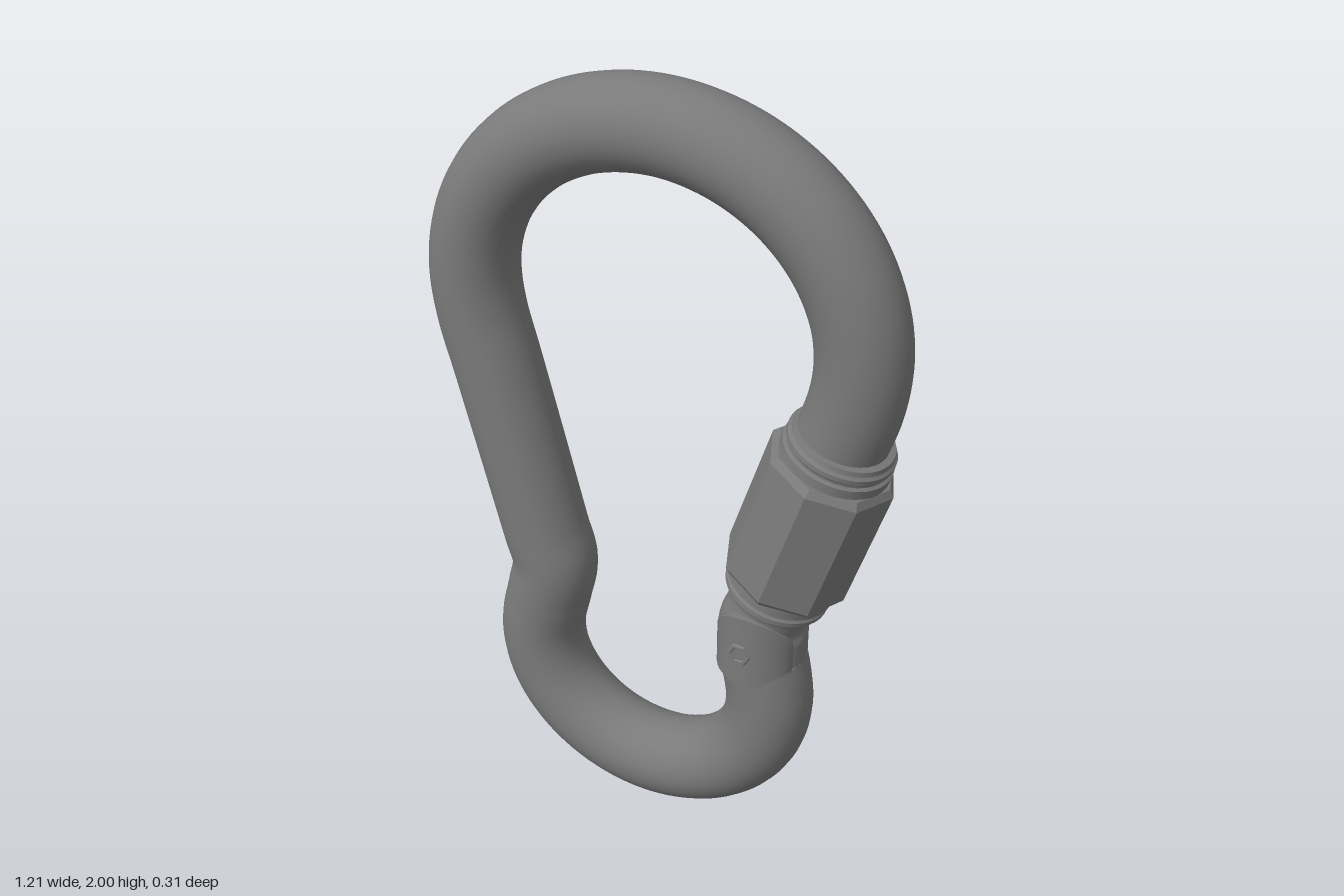
import * as THREE from 'three';
import { toCreasedNormals } from 'three/addons/utils/BufferGeometryUtils.js';

const METAL = 0x7a7a7a;
const smooth = new THREE.MeshStandardMaterial({ color: METAL, side: THREE.DoubleSide });
const faceted = new THREE.MeshStandardMaterial({ color: METAL, side: THREE.DoubleSide, flatShading: true });
const ROD = 0.109;
const TILT = THREE.MathUtils.degToRad(17.5);

function part(parent, name, geometry, material = smooth) {
  const mesh = new THREE.Mesh(geometry, material);
  mesh.name = name;
  parent.add(mesh);
  return mesh;
}

const lathe = (pts, sides) =>
  new THREE.LatheGeometry(pts.map(([r, y]) => new THREE.Vector2(r, y)), sides);

// Points on an elliptical arc, angles in degrees
function arc(cx, cy, rx, ry, from, to, steps) {
  const pts = [];
  for (let i = 0; i <= steps; i++) {
    const a = THREE.MathUtils.degToRad(from + (to - from) * i / steps);
    pts.push([cx + rx * Math.cos(a), cy + ry * Math.sin(a)]);
  }
  return pts;
}

// One hinge cheek: the rod's rounded side, continued up into an arch
function cheekGeometry() {
  const cols = 20, rows = 18, half = 0.1, base = -0.1;
  const g = new THREE.PlaneGeometry(1, 1, cols, rows);
  const p = g.attributes.position;
  for (let i = 0; i < p.count; i++) {
    const col = i % (cols + 1), v = 1 - Math.floor(i / (cols + 1)) / rows;
    const a = Math.max(0, (v - 0.3) / 0.7) * Math.PI / 2;
    const y = v < 0.3 ? base * (1 - v / 0.3) : half * Math.sin(a);
    const u = THREE.MathUtils.clamp((col - 1) / (cols - 2), 0, 1) * 2 - 1;
    const x = u * half * Math.cos(a);
    const rim = col === 0 || col === cols;
    p.setXYZ(i, x, y, rim ? 0.04 : Math.sqrt(0.112 ** 2 - x * x));
  }
  return toCreasedNormals(g, 0.7);
}

// Gate end: a round neck flattened into a tongue that bends upright between the cheeks
function gateGeometry() {
  const g = new THREE.CylinderGeometry(0.1, 0.1, 0.22, 40, 24);
  g.translate(0, -0.345, 0);
  const p = g.attributes.position;
  for (let i = 0; i < p.count; i++) {
    const t = THREE.MathUtils.clamp((-0.31 - p.getY(i)) / 0.06, 0, 1);
    const limit = THREE.MathUtils.lerp(0.1, 0.042, t);
    const x = p.getX(i) * (1 + 0.12 * t), d = p.getY(i) + 0.35, a = TILT * t;
    p.setXYZ(i,
      x * Math.cos(a) - d * Math.sin(a),
      x * Math.sin(a) + d * Math.cos(a) - 0.35,
      THREE.MathUtils.clamp(p.getZ(i), -limit, limit));
  }
  return toCreasedNormals(g, 0.6);
}

export function createModel() {
  const model = new THREE.Group();
  model.name = 'carabiner';

  // Bent rod: from inside the sleeve, over the top, down the spine and round to the hinge
  const path = [
    [0.41, 1.08], [0.452, 1.22], [0.484, 1.33],
    ...arc(0, 1.434, 0.496, 0.457, 0, 180, 14),
    [-0.485, 1.33], [-0.448, 1.19], [-0.39, 0.97], [-0.33, 0.74], [-0.305, 0.645], [-0.323, 0.55],
    ...arc(-0.02, 0.42, 0.327, 0.308, 175, 360, 12),
    [0.3, 0.49], [0.287, 0.55],
  ].map(([x, y]) => new THREE.Vector3(x, y, 0));
  const curve = new THREE.CatmullRomCurve3(path);
  part(model, 'rod', new THREE.TubeGeometry(curve, 200, ROD, 32));
  for (const t of [0, 1]) {
    const cap = part(model, 'rodEnd', new THREE.CircleGeometry(ROD, 32));
    cap.position.copy(curve.getPointAt(t));
    cap.lookAt(cap.position.clone().add(curve.getTangentAt(t).multiplyScalar(t ? 1 : -1)));
  }

  // Gate assembly, built along its own tilted axis
  const gate = new THREE.Group();
  gate.name = 'gate';
  gate.position.set(0.387, 0.998, 0);
  gate.rotation.z = -TILT;
  model.add(gate);

  // Eight-sided locking sleeve with narrow chamfers
  part(gate, 'lockingSleeve', lathe([
    [0.09, -0.188], [0.143, -0.188], [0.157, -0.17],
    [0.157, 0.17], [0.143, 0.188], [0.09, 0.188],
  ], 8), faceted);

  // Stepped collars at both ends of the sleeve
  for (const s of [1, -1]) {
    const profile = [
      [0.115, 0.17], [0.133, 0.185], [0.133, 0.212], [0.125, 0.216], [0.125, 0.222],
      [0.13, 0.228], [0.13, 0.24], [0.123, 0.246], [0.12, 0.258], [0.09, 0.262],
    ].map(([r, y]) => [r, y * s]);
    if (s < 0) profile.reverse();
    part(gate, s > 0 ? 'upperCollar' : 'lowerCollar', toCreasedNormals(lathe(profile, 40), 0.5));
  }
  part(gate, 'gateTongue', gateGeometry());

  // Hinge cheeks with a hexagonal rivet on each side
  const hinge = new THREE.Group();
  hinge.name = 'hinge';
  hinge.position.set(0.282, 0.632, 0);
  model.add(hinge);
  for (const front of [true, false]) {
    const side = new THREE.Group();
    side.name = front ? 'frontCheek' : 'backCheek';
    if (!front) side.rotation.y = Math.PI;
    hinge.add(side);
    part(side, 'cheek', cheekGeometry());
    const ring = part(side, 'rivetRing', new THREE.TorusGeometry(0.025, 0.007, 6, 6), faceted);
    ring.position.set(front ? -0.012 : 0.012, -0.008, 0.111);
  }
  const pin = part(hinge, 'rivetPin', new THREE.CylinderGeometry(0.02, 0.02, 0.226, 6), faceted);
  pin.rotation.x = Math.PI / 2;
  pin.position.set(-0.012, -0.008, 0);

  return model;
}
